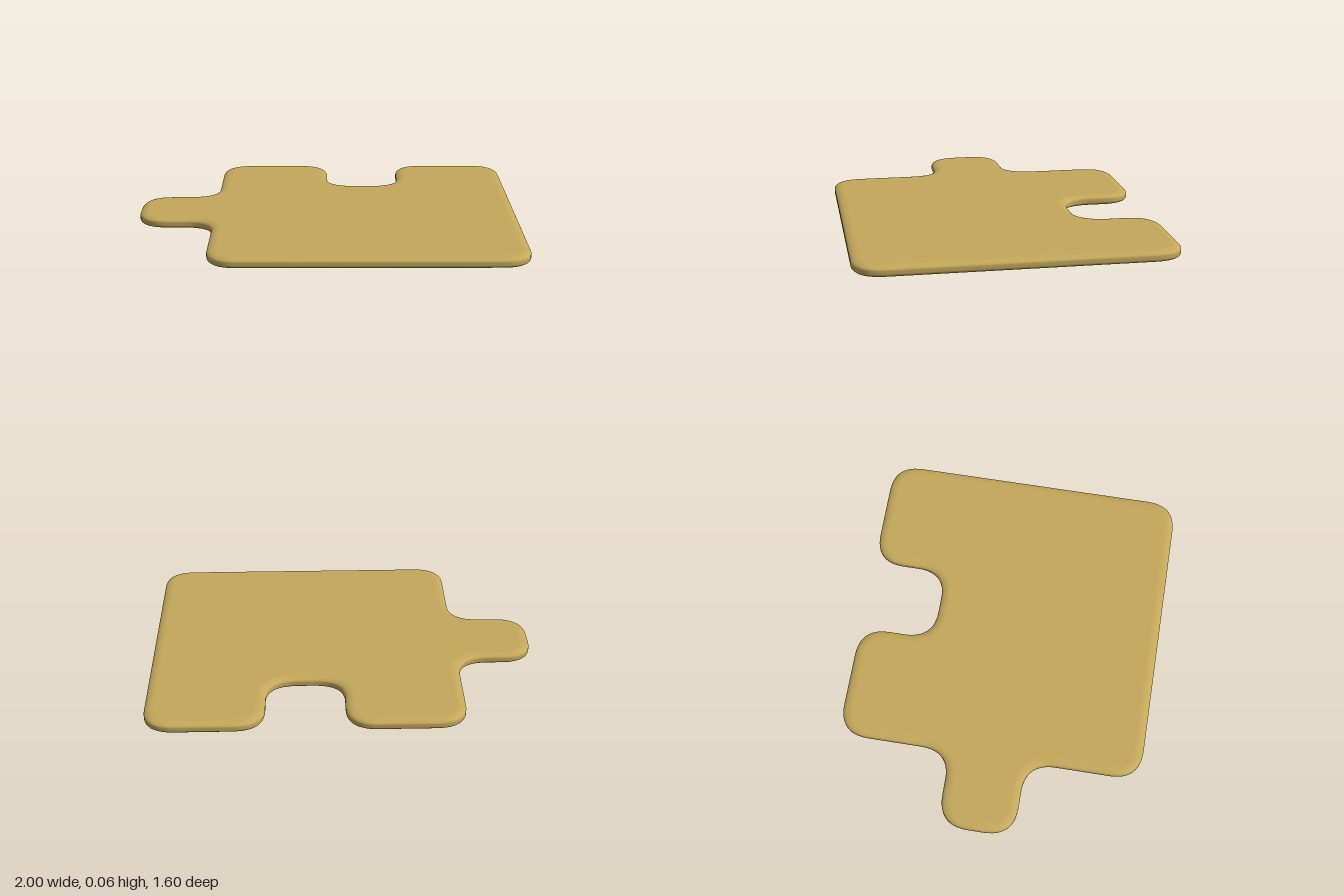
import * as THREE from 'three';
import { mergeVertices } from 'three/addons/utils/BufferGeometryUtils.js';

const HEIGHT = 0.06;  // thickness of the tile
const CORNER = 0.16;  // reach of each rounded corner
const BEVEL = 0.05;   // inward reach of the soft rim
const ROUND = 0.022;  // vertical reach of the soft rim

// Corners in plan (x, -z), counter-clockwise: square tile, tab on one side, notch at the back
const CORNERS = [
  [-0.6, -0.8], [1, -0.8], [1, 0.8], [0.4, 0.8], [0.4, 0.4], [0, 0.4],
  [0, 0.8], [-0.6, 0.8], [-0.6, 0.2], [-1, 0.2], [-1, -0.2], [-0.6, -0.2],
].map(([x, y]) => new THREE.Vector2(x, y));

// Outline with every corner, inner or outer, softened by a quadratic curve
function roundedOutline(corners, reach) {
  const n = corners.length;
  const points = [];
  corners.forEach((corner, i) => {
    const toward = (other) => other.clone().sub(corner).setLength(reach).add(corner);
    const start = toward(corners[(i + n - 1) % n]);
    const end = toward(corners[(i + 1) % n]);
    points.push(...new THREE.QuadraticBezierCurve(start, corner, end).getPoints(12));
  });
  return new THREE.Shape(points);
}

export function createModel() {
  const group = new THREE.Group();
  group.name = 'puzzlePiece';

  // Pillow-edged slab
  let geometry = new THREE.ExtrudeGeometry(roundedOutline(CORNERS, CORNER), {
    depth: HEIGHT - 2 * ROUND,
    bevelThickness: ROUND,
    bevelSize: BEVEL,
    bevelOffset: -BEVEL,
    bevelSegments: 8,
  });
  geometry.rotateX(-Math.PI / 2);
  geometry.translate(0, ROUND, 0);

  // Shared vertices give smooth normals all round the rim
  geometry.deleteAttribute('normal');
  geometry.deleteAttribute('uv');
  geometry = mergeVertices(geometry, 1e-5);
  geometry.computeVertexNormals();

  const tile = new THREE.Mesh(geometry, new THREE.MeshStandardMaterial({ color: 0xc4a85a }));
  tile.name = 'tile';
  group.add(tile);
  return group;
}
